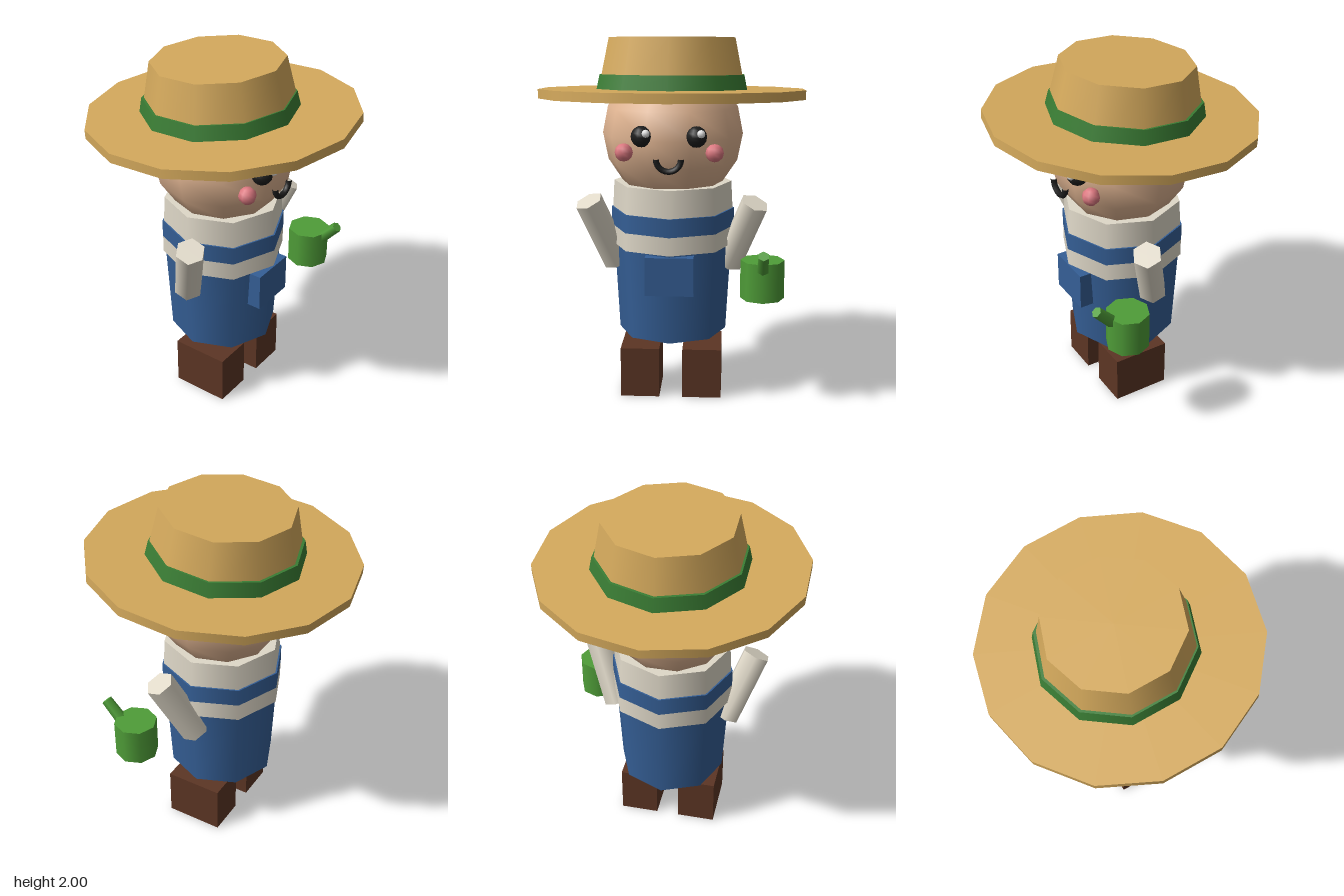
import * as THREE from 'three';

const paint = (name, color) => {
  const m = new THREE.MeshStandardMaterial({ color });
  m.name = name;
  return m;
};

export function createModel() {
  const straw = paint('straw', 0xd4a95c);
  const ribbon = paint('ribbon green', 0x3a7d34);
  const skin = paint('skin', 0xe2b693);
  const shirt = paint('shirt cream', 0xdfd8c8);
  const denim = paint('denim blue', 0x355f96);
  const leather = paint('boot brown', 0x5c3524);
  const tin = paint('can green', 0x4f9d38);
  const black = paint('black', 0x1c1c1c);
  const white = paint('white', 0xffffff);
  const pink = paint('blush pink', 0xdc7880);

  const model = new THREE.Group();
  model.name = 'gardener';

  const add = (name, geometry, material, x, y, z, parent = model) => {
    const mesh = new THREE.Mesh(geometry, material);
    mesh.name = name;
    mesh.position.set(x, y, z);
    parent.add(mesh);
    return mesh;
  };
  const tapered = (rTop, rBottom, h, sides) => new THREE.CylinderGeometry(rTop, rBottom, h, sides);
  // Stands a cylinder between two points
  const rod = (name, from, to, rTop, rBottom, sides, material) => {
    const a = new THREE.Vector3(...from), b = new THREE.Vector3(...to);
    const dir = b.clone().sub(a), mid = a.clone().add(b).multiplyScalar(0.5);
    const mesh = add(name, tapered(rTop, rBottom, dir.length(), sides), material, mid.x, mid.y, mid.z);
    mesh.quaternion.setFromUnitVectors(new THREE.Vector3(0, 1, 0), dir.normalize());
    return mesh;
  };

  // Hat, tipped slightly back
  const hat = [
    add('hatBrim', tapered(0.73, 0.73, 0.05, 14), straw, 0, 1.68, -0.003),
    add('hatCrown', tapered(0.355, 0.417, 0.3, 10), straw, 0, 1.829, -0.027),
    add('hatBand', tapered(0.407, 0.428, 0.1, 10), ribbon, 0, 1.732, -0.025),
  ];
  for (const part of hat) part.rotation.x = -0.06;

  // Head
  add('head', new THREE.SphereGeometry(0.385, 10, 8), skin, 0, 1.465, 0);

  // Torso: shirt bands above the overalls
  const torso = [
    ['collar', 0.325, 0.333, 1.05, 1.2, shirt],
    ['blueStripe', 0.342, 0.342, 0.95, 1.05, denim],
    ['creamStripe', 0.341, 0.341, 0.85, 0.95, shirt],
    ['overalls', 0.327, 0.3, 0.35, 0.85, denim],
  ];
  for (const [name, rTop, rBottom, y0, y1, material] of torso) {
    add(name, tapered(rTop, rBottom, y1 - y0, 8), material, 0, (y0 + y1) / 2, 0);
  }
  add('pocket', new THREE.BoxGeometry(0.26, 0.21, 0.08), denim, 0, 0.735, 0.3);

  // Mirrored parts
  for (const s of [1, -1]) {
    const side = s > 0 ? 'left' : 'right';
    rod(side + 'Arm', [s * 0.315, 0.735, -0.01], [s * 0.455, 1.1, 0.118], 0.08, 0.08, 6, shirt);
    add(side + 'Boot', new THREE.BoxGeometry(0.215, 0.28, 0.325), leather, s * 0.172, 0.14, 0.033);
    add(side + 'Eye', new THREE.SphereGeometry(0.056, 10, 8), black, s * 0.142, 1.49, 0.345);
    add(side + 'EyeGlint', new THREE.SphereGeometry(0.021, 8, 6), white, s * 0.142 + 0.027, 1.512, 0.398);
    add(side + 'Cheek', new THREE.SphereGeometry(0.048, 8, 6), pink, s * 0.237, 1.403, 0.322);
  }

  // Smile
  const smile = add('smile', new THREE.TorusGeometry(0.065, 0.016, 6, 12, Math.PI), black, 0, 1.377, 0.378);
  smile.rotation.z = Math.PI;

  // Watering can held beside the left arm
  add('wateringCan', tapered(0.118, 0.118, 0.21, 8), tin, 0.497, 0.714, 0.26);
  rod('spout', [0.497, 0.735, 0.305], [0.497, 0.887, 0.447], 0.03, 0.036, 6, tin);

  return model;
}
